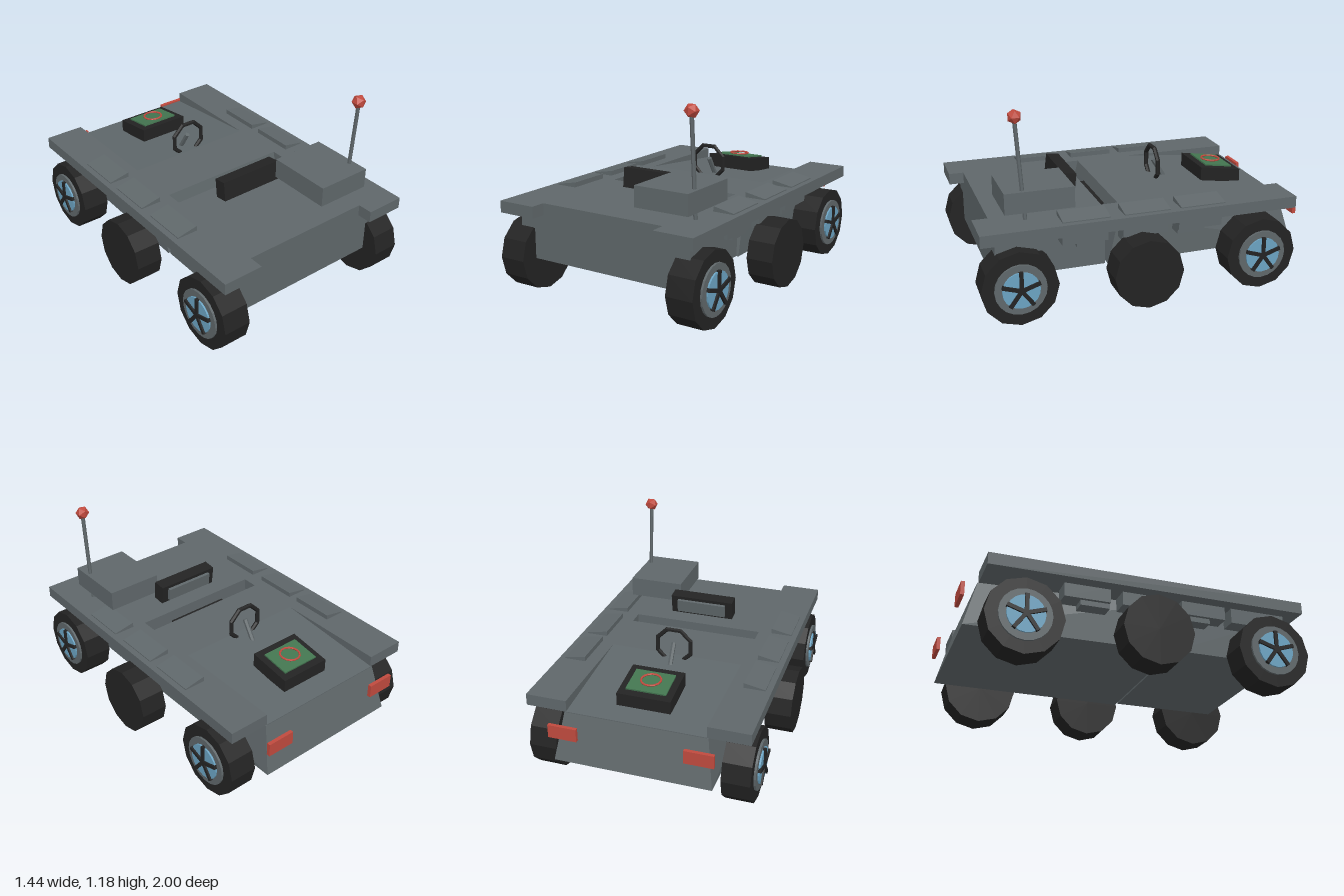
import * as THREE from 'three';

function paint(name, color) {
  const m = new THREE.MeshStandardMaterial({ color });
  m.name = name;
  m.flatShading = true;
  return m;
}

export function createModel() {
  const root = new THREE.Group();
  root.name = 'sixWheeledRover';
  const grey = paint('bodyGrey', 0x5f676a);
  const black = paint('rubberBlack', 0x232323);
  const red = paint('signalRed', 0xc04a3e);
  const green = paint('screenGreen', 0x437550);
  const blue = paint('hubBlue', 0x6ba3c2);

  function add(name, geometry, material, parent = root) {
    const mesh = new THREE.Mesh(geometry, material);
    mesh.name = name;
    parent.add(mesh);
    return mesh;
  }
  // Box given by its limits on each axis
  function box(name, [x0, x1], [y0, y1], [z0, z1], material, parent) {
    const mesh = add(name, new THREE.BoxGeometry(x1 - x0, y1 - y0, z1 - z0), material, parent);
    mesh.position.set((x0 + x1) / 2, (y0 + y1) / 2, (z0 + z1) / 2);
    return mesh;
  }
  const extrude = (points, depth) => new THREE.ExtrudeGeometry(
    new THREE.Shape(points.map(p => new THREE.Vector2(...p))), { depth, bevelEnabled: false });
  // Side profile of [z, y] points, extruded across the width
  const sideProfile = (points, halfWidth) =>
    extrude(points, 2 * halfWidth).translate(0, 0, -halfWidth).rotateY(-Math.PI / 2);
  // Round bar between two points
  function bar(name, from, to, radius, material) {
    const a = new THREE.Vector3(...from), b = new THREE.Vector3(...to);
    const mesh = add(name, new THREE.CylinderGeometry(radius, radius, a.distanceTo(b), 6), material);
    mesh.position.copy(a).add(b).multiplyScalar(0.5);
    mesh.quaternion.setFromUnitVectors(new THREE.Vector3(0, 1, 0), b.sub(a).normalize());
  }

  // Hull: front and rear halves with a narrow gap between them
  box('frontHull', [-0.48, 0.48], [0.22, 0.5], [0.24, 0.9], grey);
  const rear = sideProfile([[0.22, 0.21], [-0.975, 0.21], [-0.9, 0.49], [0.157, 0.49]], 0.48);
  const pos = rear.attributes.position;
  for (let i = 0; i < pos.count; i++) {
    if (pos.getZ(i) < -0.8) pos.setX(i, Math.sign(pos.getX(i)) * (pos.getY(i) > 0.4 ? 0.42 : 0.465));
  }
  rear.computeVertexNormals();
  add('rearHull', rear, grey);

  // Deck: centre plates, the rear one sloping down to the tail
  box('frontDeck', [-0.41, 0.41], [0.49, 0.56], [0.24, 0.9], grey);
  add('rearDeck', sideProfile([[0.14, 0.56], [0.157, 0.49], [-0.9, 0.485], [-0.9, 0.495], [-0.2, 0.56]], 0.41), grey);

  for (const s of [-1, 1]) {
    const span = (a, b) => (s > 0 ? [a, b] : [-b, -a]);
    box('deckRail', span(0.41, 0.655), [0.49, 0.56], [-0.895, 0.99], grey);
    box('frontFender', span(0.47, 0.58), [0.4, 0.49], [0.56, 0.9], grey);
    box('tailLight', span(0.31, 0.48), [0.375, 0.455], [-1, -0.978], red);

    // Sloping deck pads with brackets below
    for (const z of [0.25, -0.11, -0.45]) {
      const pad = extrude([[0.49, 0.55], [0.62, 0.55], [0.62, 0.566], [0.495, 0.59], [0.49, 0.59]]
        .map(([x, y]) => [s * x, y]), 0.275);
      add('deckPad', pad, grey).position.z = z;
      box('sideBracket', span(0.47, 0.58), [0.41, 0.5], [z, z + 0.27], grey);
      box('bracketFoot', span(0.47, 0.56), [0.38, 0.42], [z + 0.1 - (z > 0 ? 0.08 : 0), z + 0.27 - (z > 0 ? 0.09 : 0)], grey);
    }

    // Middle wheels are plain
    const mid = add('middleWheel', new THREE.CylinderGeometry(0.207, 0.207, 0.165, 12), black);
    mid.rotation.z = Math.PI / 2;
    mid.position.set(s * 0.638, 0.225, 0.05);

    // Front and rear wheels with spoked hubs
    for (const z of [0.78, -0.68]) {
      const wheel = new THREE.Group();
      wheel.name = z > 0 ? 'frontWheel' : 'rearWheel';
      wheel.position.set(s * 0.572, 0.223, z);
      wheel.rotation.y = s > 0 ? 0 : Math.PI;
      root.add(wheel);
      const disc = (name, r, x0, x1, n, material) => {
        const d = add(name, new THREE.CylinderGeometry(r, r, x1 - x0, n), material, wheel);
        d.rotation.z = Math.PI / 2;
        d.position.x = (x0 + x1) / 2;
      };
      disc('tyre', 0.22, -0.082, 0.085, 12, black);
      disc('rim', 0.148, 0.08, 0.098, 20, grey);
      disc('hubDisc', 0.107, 0.09, 0.108, 20, blue);
      for (let i = 0; i < 5; i++) {
        const spoke = new THREE.Group();
        spoke.name = 'spoke';
        spoke.rotation.x = i * Math.PI * 2 / 5;
        wheel.add(spoke);
        box('spokeBar', [0.1, 0.119], [0, 0.112], [-0.011, 0.011], black, spoke);
      }
    }
  }

  // Seat
  box('seatCushion', [-0.205, 0.205], [0.4, 0.49], [0.16, 0.24], black);
  const back = box('seatBack', [-0.205, 0.205], [0.575, 0.695], [0.332, 0.412], black);
  back.rotation.x = -0.12;
  box('seatPanel', [-0.16, 0.16], [-0.04, 0.04], [-0.06, -0.038], grey, back);

  // Steering wheel and column
  const ring = add('steeringWheel', new THREE.TorusGeometry(0.112, 0.014, 6, 8), black);
  ring.rotation.z = Math.PI / 8;
  ring.position.set(0, 0.637, -0.23);
  bar('steeringColumn', [0, 0.54, -0.31], [0, 0.66, -0.235], 0.015, grey);

  // Console with tilted screen and dial ring
  add('console', sideProfile([[-0.5, 0.54], [-0.5, 0.625], [-0.765, 0.585], [-0.765, 0.5]], 0.16), black);
  const screen = new THREE.Group();
  screen.name = 'screen';
  screen.position.set(0, 0.607, -0.635);
  screen.rotation.x = -0.15;
  root.add(screen);
  box('screenPlate', [-0.12, 0.12], [0, 0.009], [-0.09, 0.09], green, screen);
  const dial = add('dialRing', new THREE.TorusGeometry(0.058, 0.006, 6, 14), red);
  dial.rotation.x = -Math.PI / 2 - 0.06;
  dial.position.set(0, 0.625, -0.632);

  // Equipment case and antenna
  box('equipmentCase', [0.175, 0.52], [0.607, 0.73], [0.425, 0.825], grey);
  bar('antennaPole', [0.49, 0.55, 0.705], [0.49, 1.13, 0.745], 0.012, grey);
  add('antennaTip', new THREE.IcosahedronGeometry(0.042, 0), red).position.set(0.49, 1.15, 0.745);

  return root;
}
